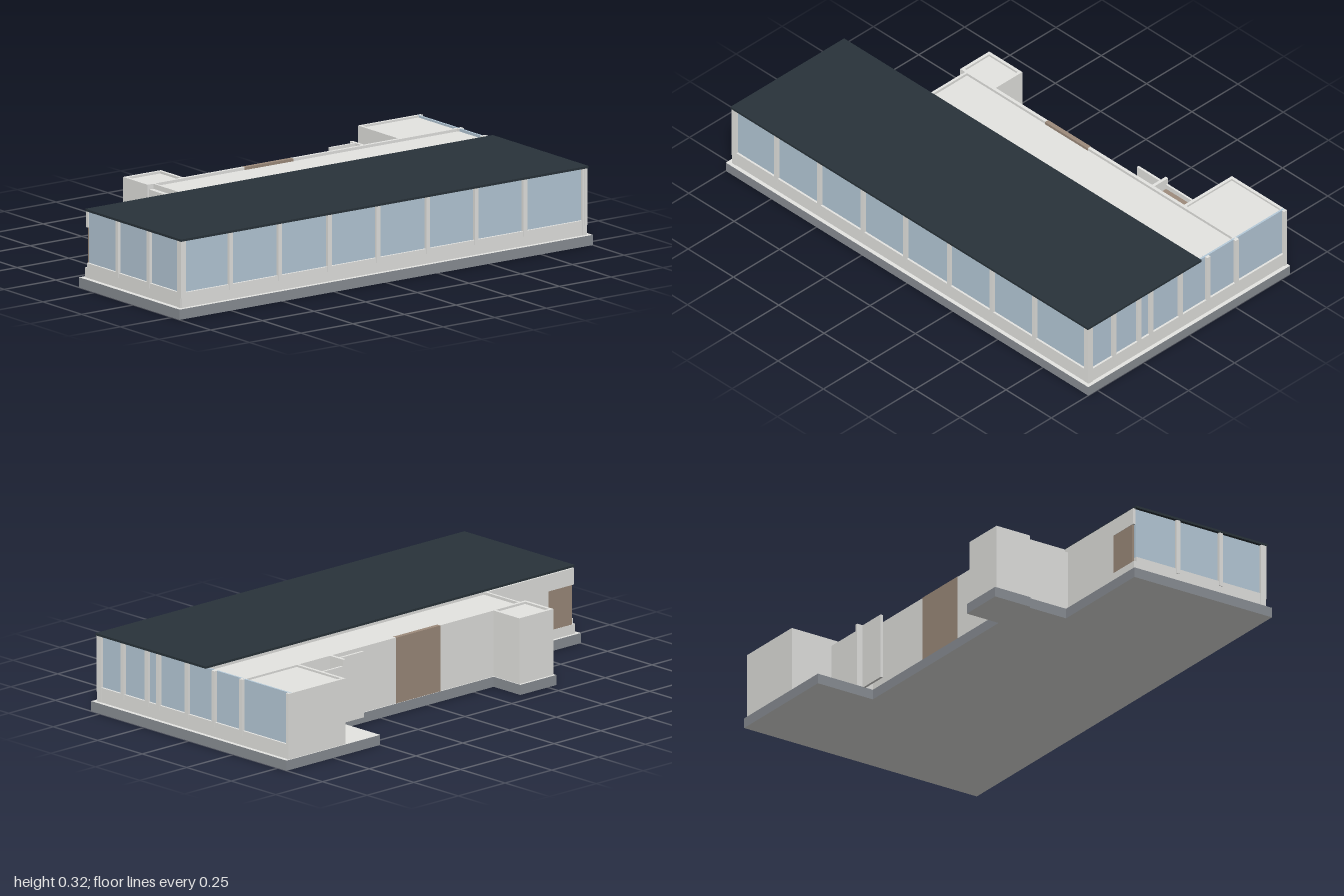
import * as THREE from 'three';

const mat = (name, color) => {
  const m = new THREE.MeshStandardMaterial({ color });
  m.name = name;
  return m;
};

export function createModel() {
  const wall = mat('pale plaster', 0xe5e5e2);
  const glass = mat('blue glass', 0xb7cbda);
  const roof = mat('dark roofing', 0x29333a);
  const stone = mat('grey foundation edge', 0x8b9096);
  const wood = mat('brown door', 0x9e8c7c);

  const model = new THREE.Group();
  model.name = 'pavilion';

  // Box given by its limits on each axis
  const box = (name, m, x0, x1, y0, y1, z0, z1, parent = model) => {
    const mesh = new THREE.Mesh(new THREE.BoxGeometry(x1 - x0, y1 - y0, z1 - z0), m);
    mesh.position.set((x0 + x1) / 2, (y0 + y1) / 2, (z0 + z1) / 2);
    mesh.name = name;
    parent.add(mesh);
    return mesh;
  };

  // Stepped foundation (x, z): pale top and underside, grey edge
  const outline = [
    [-0.549, -1], [0.549, -1], [0.549, 1], [-0.1, 1], [-0.1, 0.537], [-0.273, 0.537],
    [-0.273, 0.545], [-0.44, 0.545], [-0.44, 0.353], [-0.29, 0.353], [-0.29, -0.5], [-0.549, -0.5],
  ];
  const shape = new THREE.Shape(outline.map(([x, z]) => new THREE.Vector2(x, -z)));
  const slab = new THREE.ExtrudeGeometry(shape, { depth: 0.041, bevelEnabled: false });
  slab.rotateX(-Math.PI / 2);
  const foundation = new THREE.Mesh(slab, [wall, stone]);
  foundation.name = 'foundation';
  model.add(foundation);

  // Window wall facing local +z: low wall, recessed glass and proud posts
  const facade = (name, u0, u1, posts) => {
    const g = new THREE.Group();
    g.name = name;
    box('lowWall', wall, u0, u1, 0.04, 0.1, -0.025, -0.003, g);
    box('glazing', glass, u0 + 0.002, u1 - 0.002, 0.1, 0.307, -0.02, -0.012, g);
    for (const u of posts) {
      const a = Math.max(u0, u - 0.009), b = Math.min(u1, u + 0.009);
      box('post', wall, a, b, 0.08, 0.307, -0.025, 0, g);
    }
    model.add(g);
    return g;
  };
  facade('frontWindows', -0.077, 0.534, [0.12, 0.322, 0.527]).position.z = 0.983;
  const right = facade('longSideWindows', -0.983, 0.985,
    [-0.977, -0.74, -0.503, -0.262, -0.027, 0.214, 0.449, 0.684, 0.98]);
  right.rotation.y = Math.PI / 2;
  right.position.x = 0.535;
  const back = facade('backWindows', -0.533, 0.545,
    [-0.526, -0.39, -0.255, -0.19, -0.03, 0.12, 0.275, 0.538]);
  back.rotation.y = Math.PI;
  back.position.z = -0.986;

  // Roofs
  box('mainRoof', roof, -0.08, 0.538, 0.307, 0.316, -0.987, 0.985);
  box('sideRoof', wall, -0.272, -0.075, 0.285, 0.296, -0.966, 0.51);
  box('backRoomRoof', wall, -0.535, -0.28, 0.288, 0.299, -0.966, -0.69);
  box('towerRoof', wall, -0.42, -0.28, 0.288, 0.298, 0.365, 0.535);

  // Front wing side wall with a door between low wall and lintel
  const solid = (name, x0, x1, z0, z1, y1 = 0.307) => box(name, wall, x0, x1, 0.04, y1, z0, z1);
  solid('frontWingWall', -0.088, -0.077, 0.5, 0.84);
  solid('frontWingLowWall', -0.088, -0.077, 0.84, 0.98, 0.08);
  box('frontWingLintel', wall, -0.088, -0.077, 0.24, 0.307, 0.84, 0.975);
  box('frontWingDoor', wood, -0.087, -0.078, 0.08, 0.24, 0.84, 0.966);

  // Front of the side range with a stepped parapet
  solid('sideFrontWall', -0.275, -0.085, 0.512, 0.532, 0.287);
  solid('sideFrontParapet', -0.275, -0.085, 0.502, 0.512);

  // Long side wall with its full-height door
  solid('longWallBack', -0.286, -0.272, -0.51, -0.165);
  solid('longWallFront', -0.286, -0.272, 0.07, 0.36);
  solid('vestibuleInnerWall', -0.286, -0.272, -0.98, -0.51);
  box('roofStepWall', wall, -0.08, -0.072, 0.28, 0.307, -0.966, 0.51);
  box('longWallDoor', wood, -0.288, -0.27, 0.041, 0.307, -0.165, 0.07);

  // Back room
  solid('backRoomSide', -0.545, -0.532, -0.986, -0.682);
  solid('backRoomFront', -0.545, -0.275, -0.695, -0.682);

  // Small square tower
  solid('towerOuter', -0.43, -0.417, 0.357, 0.54);
  solid('towerInner', -0.285, -0.272, 0.357, 0.54);
  solid('towerFront', -0.43, -0.272, 0.527, 0.54);
  solid('towerBack', -0.43, -0.272, 0.357, 0.37);

  // Entrance vestibule and screen fin
  solid('vestibuleOuterWall', -0.358, -0.349, -0.682, -0.518, 0.28);
  solid('vestibuleEnd', -0.36, -0.272, -0.518, -0.505);
  solid('screenFin', -0.334, -0.324, -0.505, -0.383);
  box('entranceDoor', wood, -0.349, -0.309, 0.041, 0.26, -0.682, -0.518);

  return model;
}
